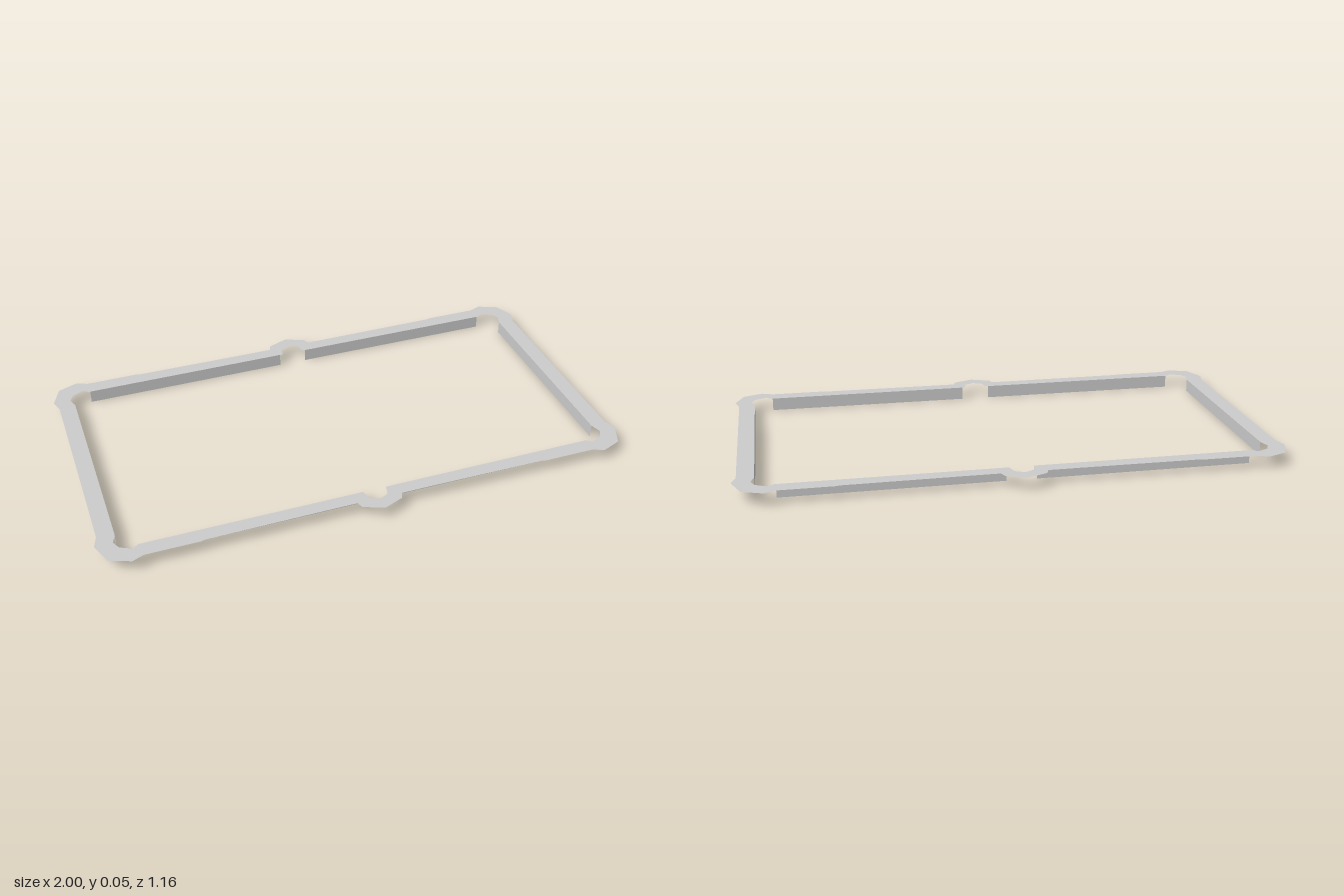
import * as THREE from 'three';

const HEIGHT = 0.05;
const INNER_X = 0.922, INNER_Z = 0.472;

// One quarter of each outline, from the middle of a long side to a short side.
const outerQuarter = [
  [0, 0.578], [0.075, 0.548], [0.084, 0.523], [0.2, 0.523], [0.64, 0.526], [0.65, 0.53],
  [0.85, 0.53], [0.892, 0.548], [0.967, 0.519], [1, 0.438], [0.984, 0.39],
];
const innerQuarter = [
  [0, 0.527], [0.035, 0.51], [0.044, INNER_Z], [0.855, INNER_Z], [0.878, 0.488],
  [0.92, 0.467], [0.935, 0.437], [INNER_X, 0.4],
];

// Mirrors a quarter outline into a closed loop.
function fullOutline(quarter) {
  const back = [...quarter].reverse();
  const flip = (pts, sx, sz) => pts.map(([x, z]) => new THREE.Vector2(x * sx, z * sz));
  return [
    ...flip(quarter, 1, 1), ...flip(back, 1, -1).slice(0, -1),
    ...flip(quarter, -1, -1), ...flip(back, -1, 1).slice(0, -1),
  ];
}

export function createModel() {
  const model = new THREE.Group();
  model.name = 'tableRim';
  const material = new THREE.MeshStandardMaterial({
    color: 0xcccccc, side: THREE.DoubleSide, flatShading: true,
  });

  // Flat top rail with pocket bulges at the corners and long-side middles
  const shape = new THREE.Shape(fullOutline(outerQuarter));
  shape.holes.push(new THREE.Path(fullOutline(innerQuarter)));
  const rail = new THREE.Mesh(new THREE.ShapeGeometry(shape), material);
  rail.geometry.rotateX(-Math.PI / 2);
  rail.position.y = HEIGHT;
  rail.name = 'topRail';
  model.add(rail);

  // Thin upright cushion hanging from the rail's inner edge
  function addCushion(name, length, x, z, turn) {
    const cushion = new THREE.Mesh(new THREE.PlaneGeometry(length, HEIGHT), material);
    cushion.position.set(x, HEIGHT / 2, z);
    cushion.rotation.y = turn;
    cushion.name = name;
    model.add(cushion);
  }
  for (const s of [-1, 1]) {
    const side = s > 0 ? 'Left' : 'Right';
    addCushion('frontCushion' + side, 0.795, s * 0.4525, INNER_Z, Math.PI);
    addCushion('backCushion' + side, 0.795, s * 0.4525, -INNER_Z, 0);
    addCushion('endCushion' + side, 0.796, s * INNER_X, 0, -s * Math.PI / 2);
  }
  return model;
}
